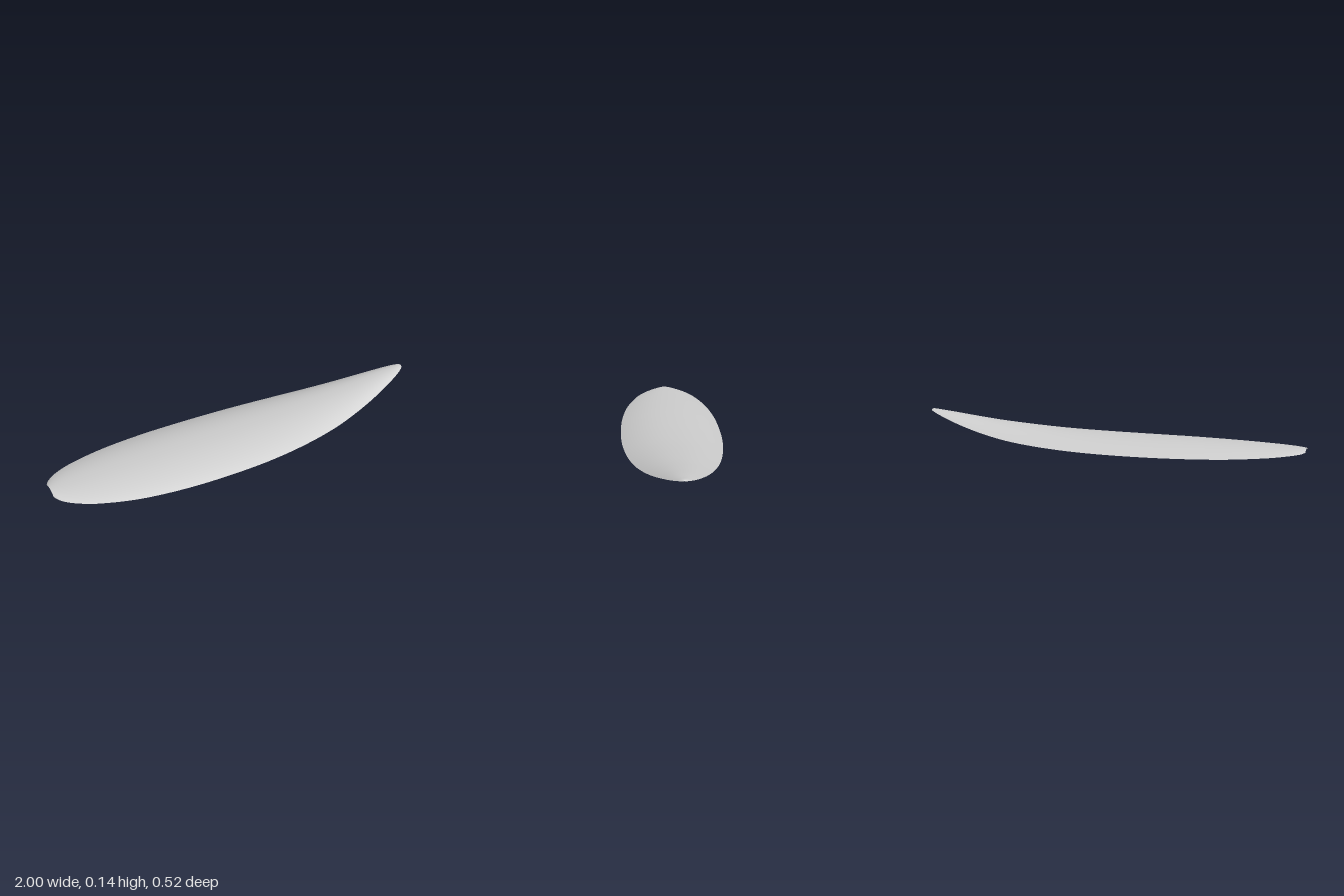
import * as THREE from 'three';

// Stations from tail to nose: x, half width, rim height, crest height
const STATIONS = [
  [-1, 0.05, 0.034, 0.047],
  [-0.98, 0.085, 0.030, 0.048],
  [-0.93, 0.128, 0.026, 0.050],
  [-0.83, 0.177, 0.019, 0.053],
  [-0.65, 0.226, 0.010, 0.057],
  [-0.43, 0.253, 0.004, 0.060],
  [-0.2, 0.260, 0.001, 0.061],
  [0.03, 0.254, 0.002, 0.063],
  [0.25, 0.232, 0.009, 0.069],
  [0.45, 0.198, 0.023, 0.081],
  [0.62, 0.156, 0.046, 0.095],
  [0.76, 0.115, 0.073, 0.111],
  [0.87, 0.077, 0.099, 0.125],
  [0.94, 0.049, 0.117, 0.133],
  [0.98, 0.028, 0.128, 0.138],
  [0.995, 0.014, 0.132, 0.138],
  [1, 0.001, 0.134, 0.135],
];
const LENGTHWISE = 120;
const ACROSS = 40;

function spline(points) {
  return new THREE.CatmullRomCurve3(points, false, 'catmullrom', 0.5);
}

// Thin arched sheet lofted from cross-sections between rim and crest
function archedSheet() {
  const rim = spline(STATIONS.map(([x, w, r]) => new THREE.Vector3(x, r, w)));
  const crest = spline(STATIONS.map(([x, , , c]) => new THREE.Vector3(x, c, 0)));
  const positions = [];
  const indices = [];
  for (let i = 0; i <= LENGTHWISE; i++) {
    const edge = rim.getPoint(i / LENGTHWISE);
    const top = crest.getPoint(i / LENGTHWISE);
    for (let j = 0; j <= ACROSS; j++) {
      const s = (j / ACROSS) * 2 - 1;
      const rise = 1 - Math.pow(Math.abs(s), 2.2);
      positions.push(edge.x, edge.y + (top.y - edge.y) * rise, s * edge.z);
    }
  }
  const row = ACROSS + 1;
  for (let i = 0; i < LENGTHWISE; i++) {
    for (let j = 0; j < ACROSS; j++) {
      const a = i * row + j;
      indices.push(a, a + 1, a + row, a + 1, a + row + 1, a + row);
    }
  }
  const geometry = new THREE.BufferGeometry();
  geometry.setAttribute('position', new THREE.Float32BufferAttribute(positions, 3));
  geometry.setIndex(indices);
  geometry.computeVertexNormals();
  return geometry;
}

export function createModel() {
  const group = new THREE.Group();
  group.name = 'curvedBlade';

  const grey = new THREE.MeshStandardMaterial({ color: 0xcccccc, side: THREE.DoubleSide });
  grey.name = 'light grey';

  const shell = new THREE.Mesh(archedSheet(), grey);
  shell.name = 'archedShell';
  group.add(shell);
  return group;
}
